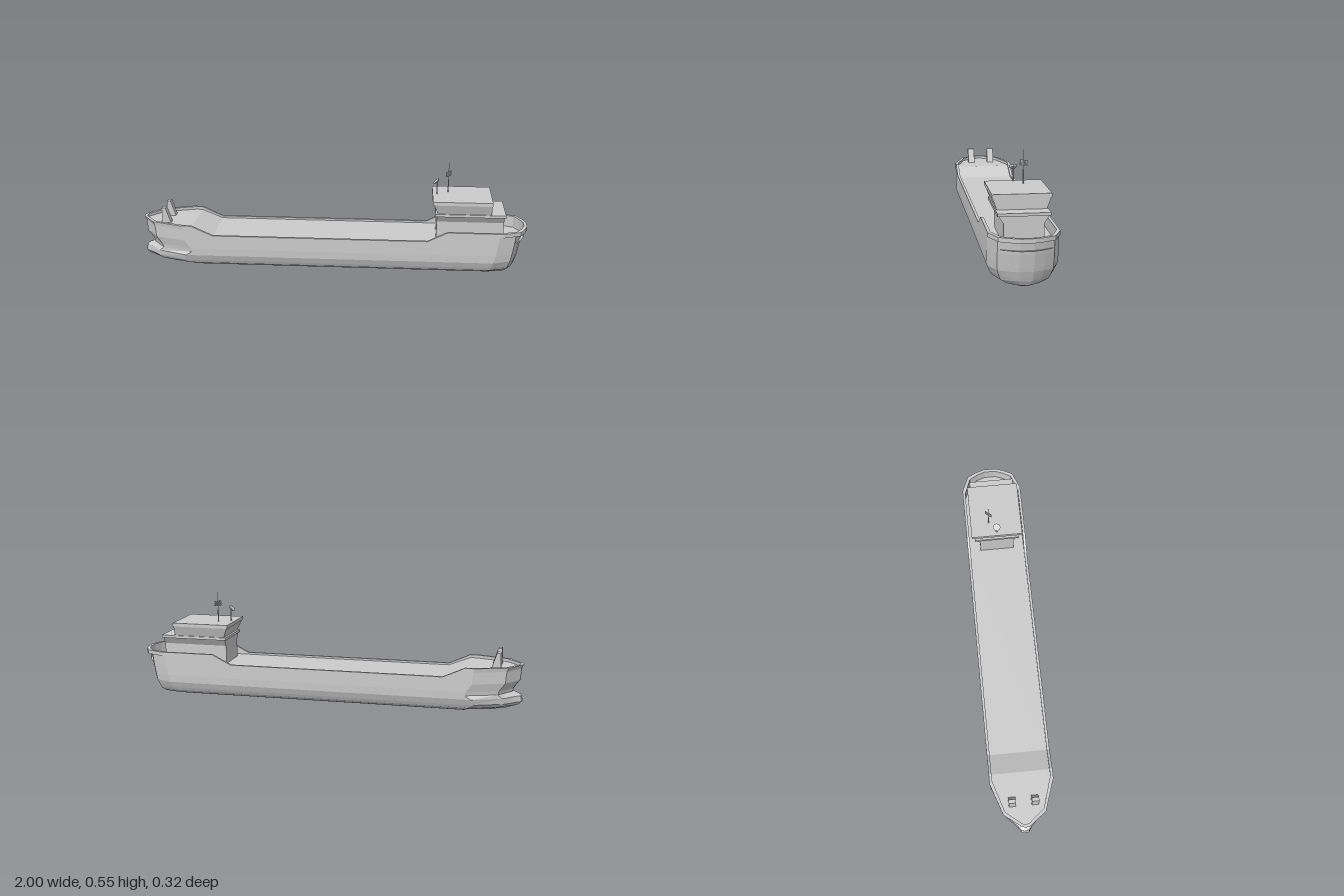
import * as THREE from 'three';

const grey = new THREE.MeshStandardMaterial({ color: 0xcccccc, flatShading: true });

function add(parent, name, geometry, x = 0, y = 0, z = 0) {
  const m = new THREE.Mesh(geometry, grey);
  m.name = name;
  m.position.set(x, y, z);
  parent.add(m);
  return m;
}

// box whose bottom and top rectangles differ: [x0, x1, half width, y]
function taperedBox(bottom, top) {
  const g = new THREE.BoxGeometry(1, 1, 1);
  const p = g.attributes.position;
  for (let i = 0; i < p.count; i++) {
    const [x0, x1, hw, y] = p.getY(i) > 0 ? top : bottom;
    p.setXYZ(i, p.getX(i) < 0 ? x0 : x1, y, p.getZ(i) < 0 ? -hw : hw);
  }
  g.computeVertexNormals();
  return g;
}

const ramp = (x, a, b, ya, yb) => THREE.MathUtils.mapLinear(THREE.MathUtils.clamp(x, a, b), a, b, ya, yb);
// rail height dips amidships; the deck rises only at the bow
const sheer = x => (x < 0 ? ramp(x, -0.72, -0.61, 0.24, 0.19) : ramp(x, 0.49, 0.59, 0.19, 0.24));
const deckY = x => ramp(x, -0.72, -0.61, 0.225, 0.18);

// plan outline of one level: [distance from the end, fraction of half width]
const bowPlan = [[0, 0], [0.005, 0.13], [0.03, 0.33], [0.07, 0.66], [0.23, 1]];
const bulbPlan = [[0, 0], [0.005, 0.13], [0.03, 0.24], [0.09, 0.62], [0.24, 1]];
const sternPlan = [[0.125, 1], [0.04, 0.78], [0.015, 0.48], [0, 0.2], [0, 0]];

function level(y, hw, xBow, xStern, bow = bowPlan) {
  const height = typeof y === 'function' ? y : () => y;
  const plan = [
    ...bow.map(([d, f]) => [xBow + d, f]),
    ...[-0.72, -0.61, 0.49, 0.59].map(x => [x, 1]),
    ...sternPlan.map(([d, f]) => [xStern - d, f]),
  ];
  return plan.map(([x, f]) => [x, height(x), f * hw]);
}

function hullGeometry() {
  const rows = [
    level(0, 0.06, -0.84, 0.9, bulbPlan),
    level(0.012, 0.1, -0.92, 0.925, bulbPlan),
    level(0.033, 0.137, -0.98, 0.937, bulbPlan),
    level(0.05, 0.146, -1, 0.943, bulbPlan),
    level(0.08, 0.158, -0.993, 0.953, bulbPlan),
    level(0.1, 0.159, -0.95, 0.957),
    level(0.118, 0.16, -0.955, 0.96),
    level(0.16, 0.16, -0.985, 0.968),
    level(x => sheer(x) - 0.02, 0.16, -0.99, 0.975),
    level(x => sheer(x) - 0.02, 0.16, -0.99, 1), // stern lip
    level(sheer, 0.16, -1, 1),
    level(sheer, 0.146, -0.984, 0.984), // inside of the bulwark
    level(deckY, 0.146, -0.984, 0.984),
  ];
  const pos = [];
  const quad = (a, b, c, d) => pos.push(...a, ...b, ...c, ...a, ...c, ...d);
  const mir = ([x, y, z]) => [x, y, -z];
  const n = rows[0].length;
  for (let i = 0; i < n - 1; i++) {
    for (let j = 0; j < rows.length - 1; j++) {
      const q = [rows[j][i], rows[j][i + 1], rows[j + 1][i + 1], rows[j + 1][i]];
      quad(...q);
      quad(...q.map(mir).reverse());
    }
    // bottom and deck
    const [a, b] = [rows[0][i], rows[0][i + 1]];
    quad(mir(a), mir(b), b, a);
    const top = rows[rows.length - 1];
    quad(top[i], top[i + 1], mir(top[i + 1]), mir(top[i]));
  }
  const g = new THREE.BufferGeometry();
  g.setAttribute('position', new THREE.Float32BufferAttribute(pos, 3));
  g.computeVertexNormals();
  return g;
}

export function createModel() {
  const ship = new THREE.Group();
  ship.name = 'cargoShip';
  add(ship, 'hull', hullGeometry());

  // bow posts, leaning on one side
  for (const s of [1, -1]) {
    const post = taperedBox([-0.89, -0.84, 0.018, 0.22], [-0.887, -0.868, 0.018, 0.305]);
    add(ship, 'bowPost', post, 0, 0, s * 0.057);
  }

  // deckhouse
  const house = new THREE.Group();
  house.name = 'deckhouse';
  ship.add(house);
  add(house, 'lowerHouse', taperedBox([0.535, 0.875, 0.09, 0.175], [0.535, 0.875, 0.09, 0.275]));
  add(house, 'flaredHouse', taperedBox([0.535, 0.875, 0.09, 0.275], [0.535, 0.875, 0.112, 0.31]));
  add(house, 'bridgeDeck', taperedBox([0.528, 0.882, 0.118, 0.309], [0.528, 0.882, 0.118, 0.323]));
  add(house, 'wheelhouse', taperedBox([0.54, 0.81, 0.112, 0.323], [0.518, 0.81, 0.131, 0.376]));
  add(house, 'roof', taperedBox([0.513, 0.813, 0.134, 0.375], [0.513, 0.813, 0.134, 0.393]));

  // dish on a short pole
  add(house, 'dishPole', new THREE.CylinderGeometry(0.003, 0.003, 0.065, 6), 0.535, 0.423, 0);
  const dish = add(house, 'dish', new THREE.CylinderGeometry(0.02, 0.012, 0.008, 8), 0.53, 0.459, 0);
  dish.rotation.z = 0.75;

  // mast with a stack of slats
  add(house, 'mast', new THREE.CylinderGeometry(0.003, 0.003, 0.068, 6), 0.593, 0.424, -0.038);
  add(house, 'aerial', new THREE.CylinderGeometry(0.0015, 0.0015, 0.1, 6), 0.593, 0.5, -0.038);
  for (let i = 0; i < 6; i++) {
    const slat = add(house, 'mastSlat', new THREE.BoxGeometry(0.04, 0.003, 0.004), 0.593, 0.479 + i * 0.0046, -0.038);
    slat.rotation.y = 0.9;
  }
  return ship;
}
